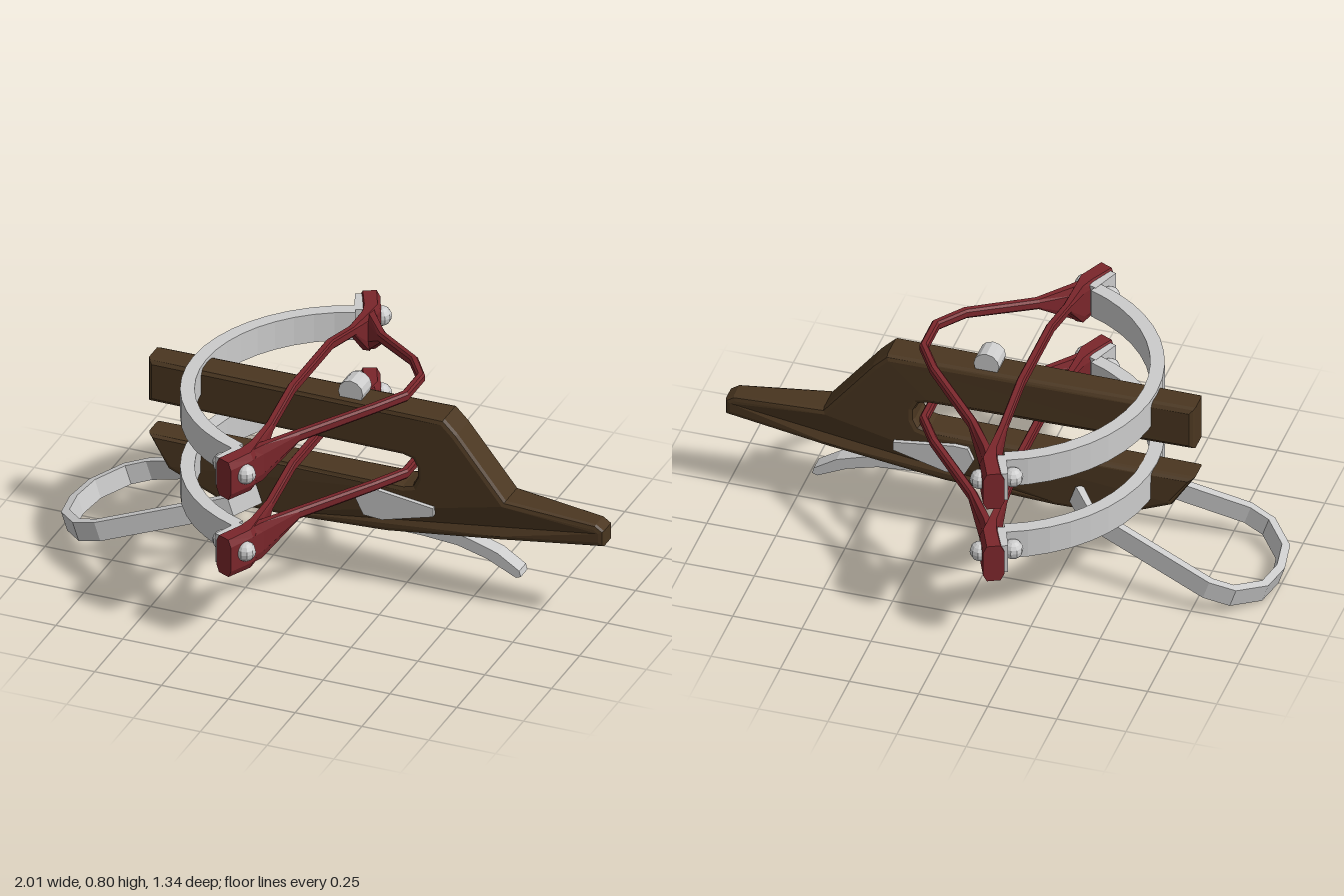
import * as THREE from 'three';

const mat = (color) => new THREE.MeshStandardMaterial({ color, flatShading: true });
const wood = mat(0x4a3620), red = mat(0x7a262b), grey = mat(0xcccccc);

function add(parent, name, geometry, material) {
  const mesh = new THREE.Mesh(geometry, material);
  mesh.name = name;
  parent.add(mesh);
  return mesh;
}

// Sweeps an upright section along stations [x, y, z, halfWidth, halfHeight]; chamfer is 0..1.
function sweep(stations, chamfer = 0) {
  const c = 1 - chamfer;
  const section = chamfer
    ? [[1, c], [c, 1], [-c, 1], [-1, c], [-1, -c], [-c, -1], [c, -1], [1, -c]]
    : [[1, 1], [-1, 1], [-1, -1], [1, -1]];
  const n = section.length, last = stations.length - 1, pos = [], index = [];
  stations.forEach(([x, y, z, hw, hh], i) => {
    const a = stations[Math.max(i - 1, 0)], b = stations[Math.min(i + 1, last)];
    const t = new THREE.Vector2(b[0] - a[0], b[2] - a[2]).normalize();
    for (const [s, u] of section) pos.push(x + t.y * s * hw, y + u * hh, z - t.x * s * hw);
    if (i < last) for (let j = 0; j < n; j++) {
      const p = i * n + j, q = i * n + (j + 1) % n;
      index.push(p, q, q + n, p, q + n, p + n);
    }
  });
  for (let j = 1; j < n - 1; j++) {
    index.push(0, j + 1, j);
    index.push(last * n, last * n + j, last * n + j + 1);
  }
  const g = new THREE.BufferGeometry();
  g.setAttribute('position', new THREE.Float32BufferAttribute(pos, 3));
  g.setIndex(index);
  g.computeVertexNormals();
  return g;
}

// Completes a half path by mirroring it across z = 0.
const mirrored = (half) => [
  ...half,
  ...half.filter((p) => p[2] !== 0).reverse().map(([x, y, z, w, h]) => [x, y, -z, w, h]),
];

// Side profile extruded symmetrically about z = 0.
function slab(points, width, bevel = 0) {
  const shape = new THREE.Shape(points.map(([x, y]) => new THREE.Vector2(x, y)));
  const depth = width - 2 * bevel;
  return new THREE.ExtrudeGeometry(shape, {
    depth, bevelEnabled: bevel > 0, bevelSize: bevel, bevelThickness: bevel,
    bevelOffset: -bevel, bevelSegments: 2,
  }).translate(0, 0, -depth / 2);
}

// One complete bow: limb, strings and bolted tips
function createBow() {
  const bow = new THREE.Group();
  const arc = [];
  for (let i = 0; i <= 18; i++) {
    const a = THREE.MathUtils.degToRad(69 - (138 * i) / 18);
    arc.push([0.038 - 0.563 * Math.cos(a), 0.66, 0.563 * Math.sin(a), 0.025, 0.055]);
  }
  add(bow, 'bowLimb', sweep(arc), grey);

  // Straight string with its flared end blocks
  add(bow, 'restString', sweep(mirrored([
    [-0.163, 0.65, 0.652, 0.037, 0.073],
    [-0.12, 0.65, 0.56, 0.035, 0.075],
    [-0.113, 0.652, 0.5, 0.02, 0.077],
    [-0.11, 0.72, 0.37, 0.014, 0.018],
    [-0.11, 0.77, 0.17, 0.014, 0.018],
  ]), 0.35), red);

  // String drawn back to the latch
  add(bow, 'drawnString', sweep(mirrored([
    [-0.115, 0.65, 0.54, 0.025, 0.07],
    [-0.09, 0.655, 0.5, 0.02, 0.07],
    [0, 0.715, 0.375, 0.016, 0.02],
    [0.2, 0.765, 0.18, 0.015, 0.018],
    [0.272, 0.772, 0.07, 0.015, 0.018],
  ]), 0.45), red);

  for (const s of [1, -1]) {
    add(bow, 'tipPlate', sweep([
      [-0.15, 0.66, s * 0.525, 0.017, 0.056],
      [-0.19, 0.66, s * 0.63, 0.017, 0.056],
    ]), grey);
    const bolt = new THREE.Group();
    bolt.name = 'tipBolt';
    bolt.position.set(-0.152, 0.66, s * 0.585);
    bolt.rotation.y = -s * 0.4;
    add(bolt, 'boltShaft', new THREE.CylinderGeometry(0.022, 0.022, 0.11, 8).rotateZ(Math.PI / 2), grey);
    for (const e of [1, -1]) {
      add(bolt, 'boltHead', new THREE.SphereGeometry(0.036, 10, 8), grey).position.x = e * 0.057;
    }
    bow.add(bolt);
  }
  return bow;
}

export function createModel() {
  const model = new THREE.Group();
  model.name = 'doubleCrossbow';

  // Forked stock, narrowing towards the butt
  const stock = slab([
    [-0.7, 0.53], [0.26, 0.53], [0.295, 0.52], [0.31, 0.49], [0.31, 0.45], [0.295, 0.42],
    [0.26, 0.41], [-0.7, 0.407], [-0.62, 0.285], [-0.42, 0.2], [-0.2, 0.195], [0.2, 0.215],
    [0.62, 0.27], [1, 0.315], [1, 0.375], [0.97, 0.395], [0.64, 0.425], [0.46, 0.65],
    [0.41, 0.7], [-0.7, 0.7],
  ].reverse(), 0.13, 0.018);
  const p = stock.attributes.position;
  for (let i = 0; i < p.count; i++) {
    const x = p.getX(i);
    const k = 1 - 0.35 * THREE.MathUtils.smoothstep(x, 0.62, 1) - 0.25 * THREE.MathUtils.clamp((-0.66 - x) / 0.04, 0, 1);
    p.setZ(i, p.getZ(i) * k);
  }
  stock.computeVertexNormals();
  add(model, 'stock', stock, wood);

  // Upper and lower bows
  ['upperBow', 'lowerBow'].forEach((name, i) => {
    const bow = createBow();
    bow.name = name;
    bow.position.y = -0.305 * i;
    model.add(bow);
  });

  // Foot stirrup
  const stirrup = add(model, 'stirrup', sweep(mirrored([
    [0, 0, 0.07, 0.015, 0.036], [-0.07, 0, 0.15, 0.015, 0.036], [-0.555, 0, 0.235, 0.015, 0.036],
    [-0.64, 0, 0.215, 0.015, 0.036], [-0.725, 0, 0.12, 0.015, 0.036], [-0.745, 0, 0, 0.015, 0.036],
  ])), grey);
  stirrup.position.set(-0.28, 0.27, 0);
  stirrup.rotation.z = 0.323;

  // Lock plates showing on both sides of the stock
  add(model, 'lockPlates', slab([
    [0.12, 0.275], [0.19, 0.27], [0.38, 0.322], [0.38, 0.355], [0.16, 0.385], [0.11, 0.382], [0.09, 0.335],
  ], 0.162), grey);

  // Curved trigger lever
  add(model, 'triggerLever', slab([
    [0.15, 0.213], [0.32, 0.21], [0.45, 0.2], [0.56, 0.17], [0.67, 0.118], [0.688, 0.125], [0.682, 0.147],
    [0.6, 0.2], [0.5, 0.232], [0.42, 0.25], [0.2, 0.25],
  ], 0.06), grey);

  // Rounded latch on top
  add(model, 'latch', new THREE.CylinderGeometry(0.046, 0.046, 0.08, 12).rotateX(Math.PI / 2), grey)
    .position.set(0.055, 0.722, 0);

  return model;
}
